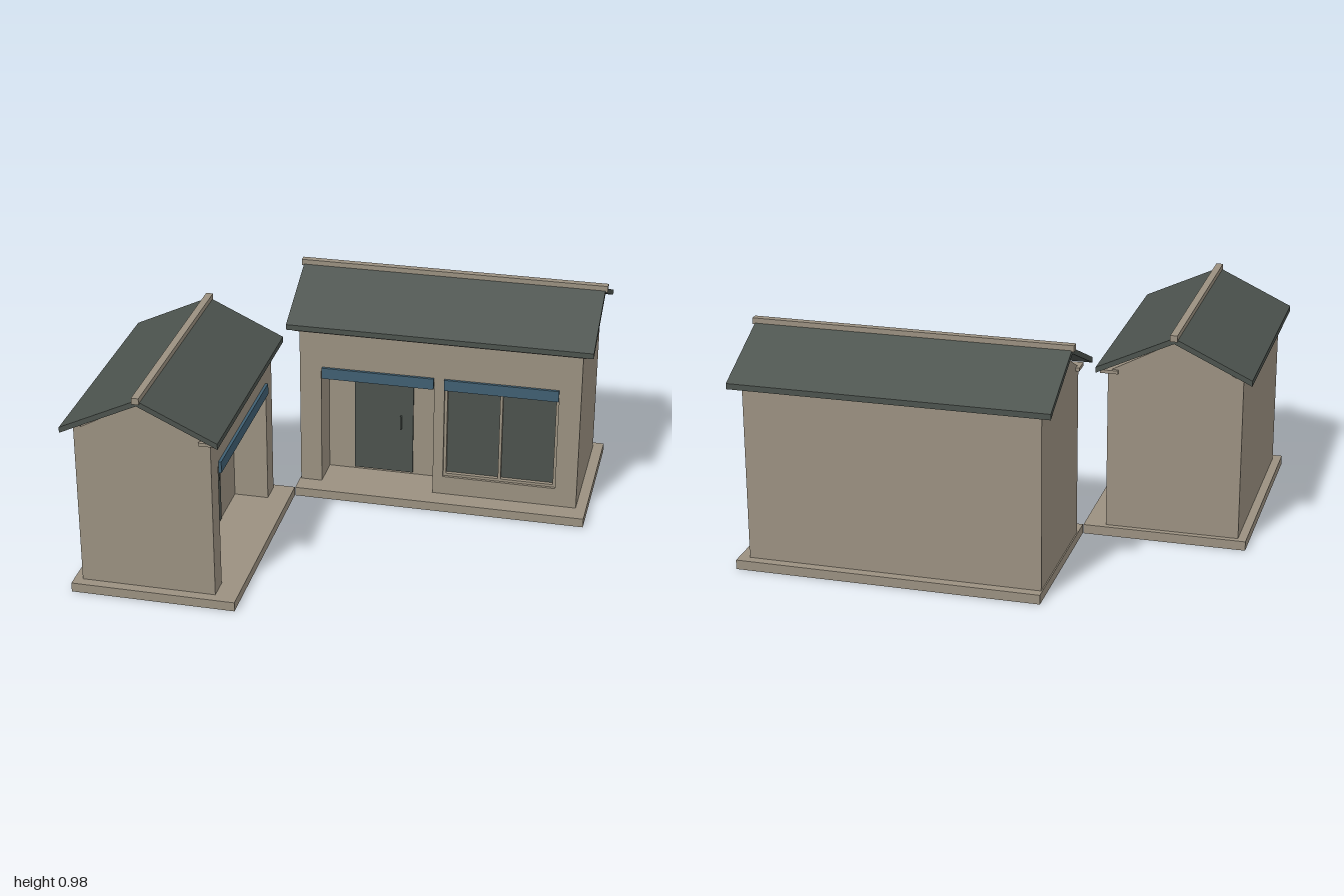
import * as THREE from 'three';

const plaster = new THREE.MeshStandardMaterial({ color: 0x9a9080 });
plaster.name = 'plaster';
const slate = new THREE.MeshStandardMaterial({ color: 0x4b524d });
slate.name = 'slate';
const awningBlue = new THREE.MeshStandardMaterial({ color: 0x3f5f72 });
awningBlue.name = 'awningBlue';

const PORCH_DEPTH = 0.15;
const FLOOR = 0.04;

function add(group, name, geometry, material) {
  const mesh = new THREE.Mesh(geometry, material);
  mesh.name = name;
  group.add(mesh);
  return mesh;
}

// Box given by its limits on each axis
function box(group, name, material, [x0, x1], [y0, y1], [z0, z1]) {
  const mesh = add(group, name, new THREE.BoxGeometry(x1 - x0, y1 - y0, z1 - z0), material);
  mesh.position.set((x0 + x1) / 2, (y0 + y1) / 2, (z0 + z1) / 2);
  return mesh;
}

function polygon(points) {
  return new THREE.Shape(points.map(([x, y]) => new THREE.Vector2(x, y)));
}

// Cross-section in (z, y) swept along x, centred
function sweptAlongX(points, length) {
  const geometry = new THREE.ExtrudeGeometry(polygon(points), { depth: length, bevelEnabled: false });
  return geometry.translate(0, 0, -length / 2).rotateY(Math.PI / 2);
}

// One gabled house, long side along x, shop front facing +z
function house(name, o) {
  const g = new THREE.Group();
  g.name = name;
  const L = o.length / 2, D = o.depth / 2, top = o.wallTop;
  const [p0, p1] = o.porch;

  box(g, 'foundation', plaster, o.baseX, [0, FLOOR], o.baseZ);
  box(g, 'rearWalls', plaster, [-L, L], [FLOOR, top], [-D, D - PORCH_DEPTH]);

  // Front wall with the porch notch and an optional window hole
  const front = polygon([[-L, FLOOR], [p0, FLOOR], [p0, 0.58], [p1, 0.58],
    [p1, FLOOR], [L, FLOOR], [L, top], [-L, top]]);
  if (o.window) {
    const [w0, w1] = o.window;
    front.holes.push(new THREE.Path([[w0, 0.125], [w0, 0.58], [w1, 0.58], [w1, 0.125]]
      .map(([x, y]) => new THREE.Vector2(x, y))));
  }
  const wall = add(g, 'frontWall',
    new THREE.ExtrudeGeometry(front, { depth: PORCH_DEPTH, bevelEnabled: false }), plaster);
  wall.position.z = D - PORCH_DEPTH;

  // Door and handle at the back of the porch
  const mid = (p0 + p1) / 2 - (o.window ? 0 : 0.0025), back = D - PORCH_DEPTH;
  box(g, 'door', slate, [mid - 0.132, mid + 0.132], [0.05, 0.565], [back, back + 0.008]);
  box(g, 'doorHandle', slate, [mid + 0.075, mid + 0.082], [0.265, 0.33], [back + 0.008, back + 0.02]);
  box(g, 'porchAwning', awningBlue, [p0 + 0.005, p1 - 0.002], [0.55, 0.6], [D, D + 0.012]);

  // Sliding window: two panes in a frame
  if (o.window) {
    const [w0, w1] = o.window, c = (w0 + w1) / 2;
    box(g, 'windowGlass', slate, [w0, w1], [0.125, 0.58], [D - 0.04, D - 0.03]);
    for (const x of [w0 + 0.006, c, w1 - 0.006]) {
      box(g, 'windowPost', plaster, [x - 0.006, x + 0.006], [0.125, 0.58], [D - 0.03, D - 0.012]);
    }
    box(g, 'windowSill', plaster, [w0, w1], [0.125, 0.137], [D - 0.03, D - 0.012]);
    box(g, 'windowAwning', awningBlue, [w0, w1], [0.55, 0.6], [D, D + 0.012]);
  }

  // Gables, eave beams, roof and ridge
  add(g, 'gable', sweptAlongX([[-D, top], [D, top], [0, top + 0.15]], o.length), plaster);
  box(g, 'frontEaveBeam', plaster, [-L - 0.015, L + 0.015], [top - 0.006, top + 0.008], [D - 0.045, D + 0.03]);
  box(g, 'rearEaveBeam', plaster, [-L, L], [top, top + 0.02], [-D, -D + 0.03]);
  const R = o.roofHalf, apex = top + 0.181, eave = top + 0.028, t = 0.024;
  add(g, 'roof', sweptAlongX([[-R, eave - t], [0, apex - t], [R, eave - t],
    [R, eave], [0, apex], [-R, eave]], o.roofLength), slate);
  const r = o.roofLength / 2 + 0.01;
  box(g, 'ridgeCap', plaster, [-r, r], [apex - 0.012, top + 0.196], [-0.015, 0.015]);
  return g;
}

export function createModel() {
  const model = new THREE.Group();
  model.name = 'cornerShops';

  const mainShop = house('mainShop', {
    length: 1.23, depth: 0.59, wallTop: 0.78,
    baseX: [-0.62, 0.66], baseZ: [-0.335, 0.385],
    porch: [-0.52, -0.02], window: [0.025, 0.52],
    roofHalf: 0.342, roofLength: 1.325,
  });
  mainShop.position.set(0.32, 0, -0.525);
  model.add(mainShop);

  // Side shop turned so that its front faces +x
  const sideShop = house('sideShop', {
    length: 0.925, depth: 0.565, wallTop: 0.73,
    baseX: [-0.505, 0.4875], baseZ: [-0.318, 0.374],
    porch: [-0.3675, 0.3675], window: null,
    roofHalf: 0.325, roofLength: 1.018,
  });
  sideShop.rotation.y = Math.PI / 2;
  sideShop.position.set(-0.6765, 0, 0.345);
  model.add(sideShop);

  return model;
}
